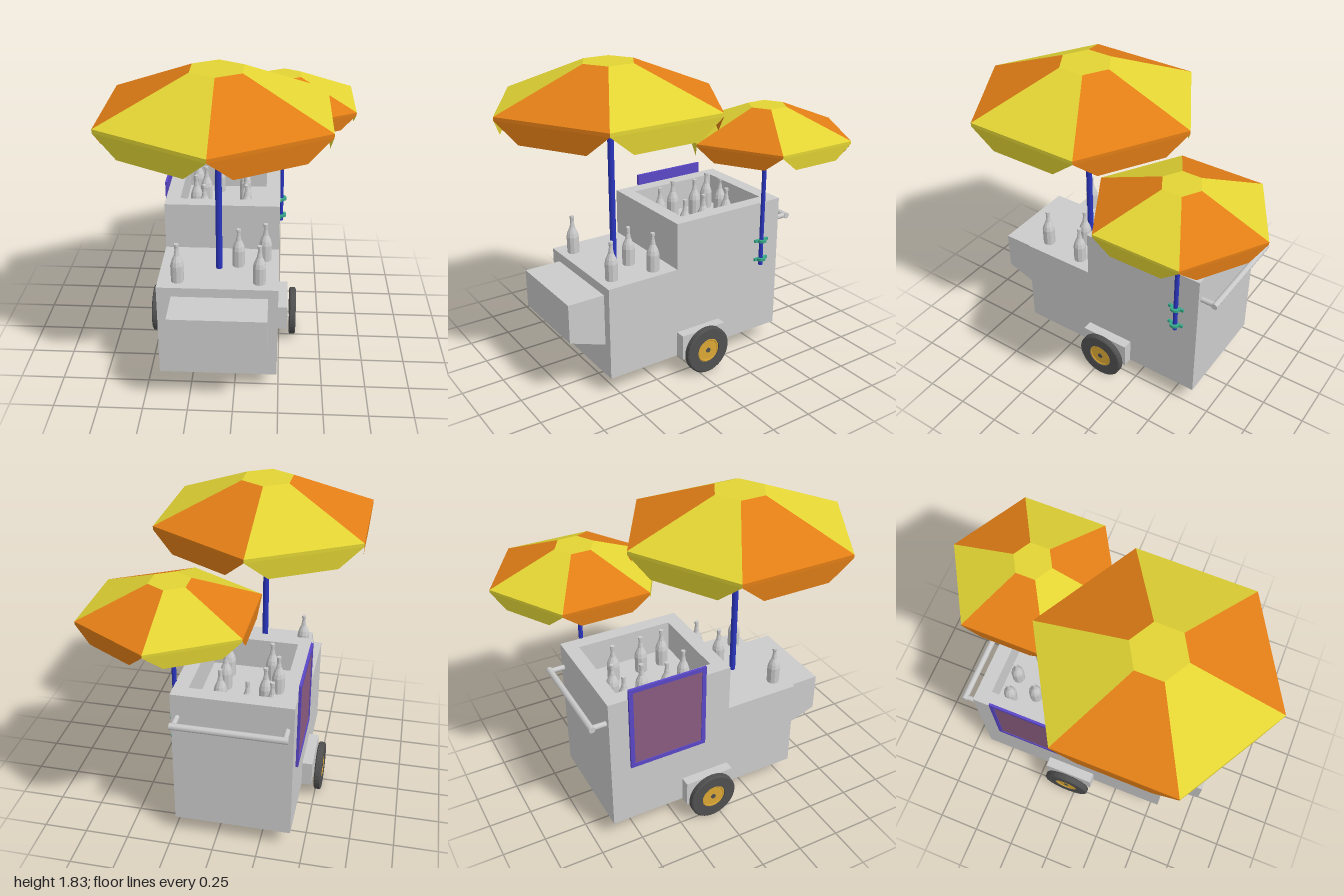
import * as THREE from 'three';

const mat = (color, extra = {}) => new THREE.MeshStandardMaterial({ color, ...extra });
const GREY = mat(0xcccccc);
const FLAT_GREY = mat(0xcccccc, { flatShading: true });
const TYRE = mat(0x505050);
const HUB = mat(0xdca834);
const BLUE = mat(0x2a35c0);
const TEAL = mat(0x37a888);
const PURPLE = mat(0x5a48c8);
const PINK = mat(0x8a5c80);
const YELLOW = mat(0xe2d434, { side: THREE.DoubleSide, flatShading: true });
const ORANGE = mat(0xe27e16, { side: THREE.DoubleSide, flatShading: true });

function add(parent, name, geometry, material, x = 0, y = 0, z = 0) {
  const mesh = new THREE.Mesh(geometry, material);
  mesh.name = name;
  mesh.position.set(x, y, z);
  parent.add(mesh);
  return mesh;
}

// Box given by its minimum and maximum corners
function box(parent, name, material, [x0, y0, z0], [x1, y1, z1]) {
  return add(parent, name, new THREE.BoxGeometry(x1 - x0, y1 - y0, z1 - z0), material,
    (x0 + x1) / 2, (y0 + y1) / 2, (z0 + z1) / 2);
}

// Side profile in (z, y), extruded from x0 to x1
function prism(points, x0, x1) {
  const shape = new THREE.Shape(points.map(p => new THREE.Vector2(...p)));
  return new THREE.ExtrudeGeometry(shape, { depth: x1 - x0, bevelEnabled: false })
    .rotateY(-Math.PI / 2).translate(x1, 0, 0);
}

function rectangle(Type, x0, y0, x1, y1) {
  const r = new Type();
  r.moveTo(x0, y0).lineTo(x1, y0).lineTo(x1, y1).lineTo(x0, y1).closePath();
  return r;
}

function polygonMesh(parent, name, polygons, material) {
  const pos = [];
  for (const p of polygons)
    for (let i = 1; i < p.length - 1; i++) pos.push(...p[0], ...p[i], ...p[i + 1]);
  const g = new THREE.BufferGeometry();
  g.setAttribute('position', new THREE.Float32BufferAttribute(pos, 3));
  g.computeVertexNormals();
  return add(parent, name, g, material);
}

// Six-panel parasol with hanging flaps, a flat cap and its pole
function parasol(name, { x, z, radius, capRadius, top, edge, hem, lip, poleRadius, poleBase }) {
  const group = new THREE.Group();
  group.name = name;
  group.position.set(x, 0, z);
  const ring = (r, y, k) => [r * Math.sin(k * Math.PI / 3), y, r * Math.cos(k * Math.PI / 3)];
  const mix = (a, b, t) => a.map((v, i) => v + (b[i] - v) * t);
  for (let k = 0; k < 6; k++) {
    const a = ring(radius, edge, k), b = ring(radius, edge, k + 1);
    const la = ring(radius, edge - lip, k), lb = ring(radius, edge - lip, k + 1);
    const ha = ring(radius * 0.985, hem, k), hb = ring(radius * 0.985, hem, k + 1);
    polygonMesh(group, 'canopyPanel', [
      [a, b, ring(capRadius, top, k + 1), ring(capRadius, top, k)],
      [la, lb, b, a],
      [mix(ha, hb, 0.2), mix(ha, hb, 0.8), lb, la],
      [lb, la, [0, top - lip, 0]],
    ], k % 2 ? YELLOW : ORANGE);
  }
  polygonMesh(group, 'canopyCap', [[0, 1, 2, 3, 4, 5].map(k => ring(capRadius, top, k))], YELLOW);
  const length = top - lip - poleBase;
  add(group, 'pole', new THREE.CylinderGeometry(poleRadius, poleRadius, length, 12), BLUE, 0, poleBase + length / 2, 0);
  return group;
}

function wheel(side, x) {
  const group = new THREE.Group();
  group.name = side > 0 ? 'leftWheel' : 'rightWheel';
  const ring = [[0.075, -0.02], [0.137, -0.02], [0.145, -0.014], [0.145, 0.014], [0.137, 0.02], [0.075, 0.02], [0.075, -0.02]];
  add(group, 'tyre', new THREE.LatheGeometry(ring.map(p => new THREE.Vector2(...p)), 32), mat(0x505050, { flatShading: true }));
  add(group, 'rim', new THREE.CylinderGeometry(0.076, 0.076, 0.026, 32), HUB);
  add(group, 'rimRing', new THREE.TorusGeometry(0.068, 0.006, 6, 32).rotateX(Math.PI / 2), HUB, 0, 0.012, 0);
  add(group, 'hubCap', new THREE.CylinderGeometry(0.015, 0.015, 0.034, 12), TYRE);
  group.rotation.z = -side * Math.PI / 2;
  group.position.set(x, 0.148, -0.05);
  return group;
}

export function createModel() {
  const model = new THREE.Group();
  model.name = 'drinksCart';
  const L = 0.24, R = -0.425, MID = (L + R) / 2;

  // Stepped body, with an open cooler at the back
  const floor = 0.765;
  add(model, 'body', prism([[-0.64, 0.11], [0.55, 0.11], [0.55, 0.67], [0.1, 0.67], [0.1, floor], [-0.64, floor]], R, L), GREY);
  const rim = rectangle(THREE.Shape, R, -0.1, L, 0.64);
  rim.holes.push(rectangle(THREE.Path, R + 0.083, -0.017, L - 0.083, 0.557));
  add(model, 'coolerWalls', new THREE.ExtrudeGeometry(rim, { depth: 0.95 - floor, bevelEnabled: false }).rotateX(-Math.PI / 2),
    GREY, 0, floor, 0);

  // Front bin with sloping underside
  add(model, 'frontBin', prism([[0.55, 0.305], [0.77, 0.385], [0.77, 0.615], [0.55, 0.615]], -0.345, 0.185), GREY);

  // Half-round front foot
  const foot = [];
  for (let i = 0; i <= 14; i++) {
    const a = Math.PI + i * Math.PI / 14;
    foot.push([0.4 + 0.085 * Math.cos(a), 0.11 + 0.085 * Math.sin(a)]);
  }
  add(model, 'frontFoot', prism(foot, -0.11, -0.04), GREY);

  // Wheels, housings and axle
  for (const side of [1, -1]) {
    const inner = MID + side * 0.33, outer = MID + side * 0.392;
    box(model, 'wheelHousing', GREY, [Math.min(inner, outer), 0.11, -0.2], [Math.max(inner, outer), 0.265, 0.1]);
    model.add(wheel(side, MID + side * 0.424));
  }
  add(model, 'axle', new THREE.CylinderGeometry(0.011, 0.011, 0.83, 10).rotateZ(Math.PI / 2), GREY, MID, 0.107, -0.05);

  // Push handle
  add(model, 'handleBar', new THREE.CylinderGeometry(0.019, 0.019, 0.63, 8).rotateZ(Math.PI / 2), GREY, MID, 0.81, -0.726);
  for (const side of [1, -1])
    add(model, 'handleArm', new THREE.CylinderGeometry(0.016, 0.016, 0.09, 8).rotateX(Math.PI / 2), GREY, MID + side * 0.297, 0.81, -0.683);

  // Framed side board
  const frame = rectangle(THREE.Shape, -0.525, 0.49, -0.06, 1.015);
  frame.holes.push(rectangle(THREE.Path, -0.5, 0.515, -0.085, 0.99));
  add(model, 'boardFrame', new THREE.ExtrudeGeometry(frame, { depth: 0.014, bevelEnabled: false }).rotateY(-Math.PI / 2),
    PURPLE, R, 0, 0);
  box(model, 'boardPanel', PINK, [R - 0.009, 0.515, -0.5], [R - 0.002, 0.99, -0.085]);
  box(model, 'boardBacking', PURPLE, [R - 0.003, 0.51, -0.505], [R, 0.995, -0.08]);

  // Parasols
  model.add(parasol('largeParasol', { x: -0.095, z: 0.322, radius: 0.672, capRadius: 0.155,
    top: 1.83, edge: 1.622, hem: 1.49, lip: 0.02, poleRadius: 0.018, poleBase: 0.665 }));
  model.add(parasol('smallParasol', { x: 0.25, z: -0.507, radius: 0.491, capRadius: 0.113,
    top: 1.545, edge: 1.395, hem: 1.3, lip: 0.015, poleRadius: 0.013, poleBase: 0.55 }));

  // Clamps holding the small parasol's pole
  for (const y of [0.59, 0.71]) {
    const strap = new THREE.Shape();
    strap.absarc(0, 0, 0.03, -Math.PI / 2, Math.PI / 2, false);
    strap.absarc(0, 0, 0.014, Math.PI / 2, -Math.PI / 2, true);
    add(model, 'clampStrap', new THREE.ExtrudeGeometry(strap, { depth: 0.016, bevelEnabled: false, curveSegments: 8 })
      .rotateX(-Math.PI / 2), TEAL, 0.253, y - 0.008, -0.507);
    for (const side of [1, -1])
      add(model, 'clampEar', new THREE.BoxGeometry(0.014, 0.016, 0.034), TEAL, 0.247, y, -0.507 + side * 0.031);
  }

  // Bottles on the counter and in the cooler
  const outline = [[0, 0], [0.036, 0], [0.037, 0.1], [0.031, 0.125], [0.016, 0.16], [0.011, 0.19], [0.011, 0.21], [0.013, 0.212], [0.013, 0.228], [0, 0.228]];
  const bottle = new THREE.LatheGeometry(outline.map(p => new THREE.Vector2(...p)), 10);
  for (const [x, z] of [[-0.315, 0.47], [0.135, 0.47], [0.012, 0.285], [0.162, 0.215]])
    add(model, 'counterBottle', bottle, FLAT_GREY, x, 0.67, z);
  for (const [x, z] of [[-0.28, -0.48], [-0.22, -0.345], [-0.148, -0.49], [-0.27, -0.215], [0.02, -0.41], [0.04, -0.09], [-0.21, -0.08], [0.03, -0.23]])
    add(model, 'coolerBottle', bottle, FLAT_GREY, x, floor, z);

  return model;
}
